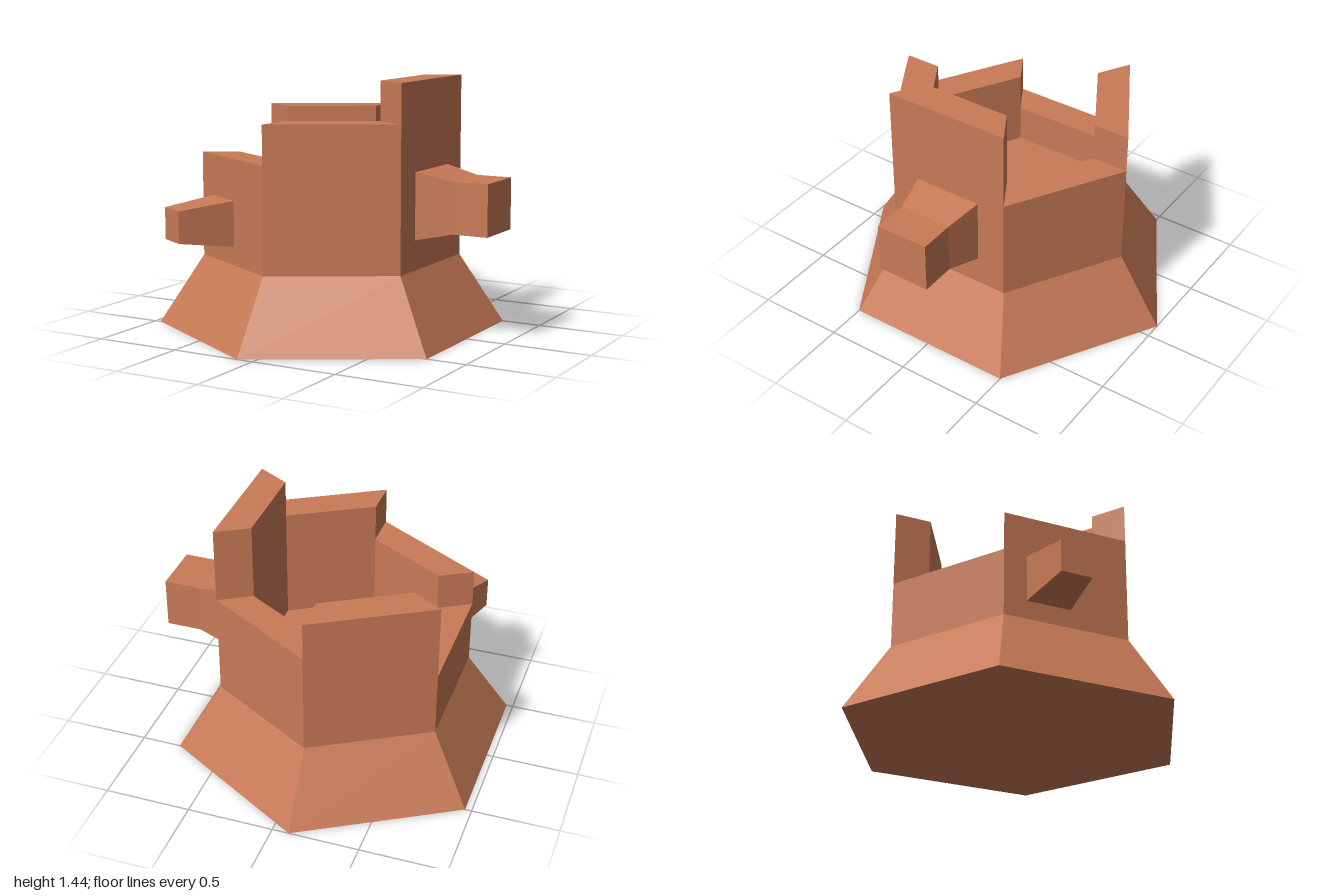
import * as THREE from 'three';

// Flat-faced geometry from quads, corners counter-clockwise seen from outside
function quadGeometry(quads) {
  const points = quads.flatMap(([a, b, c, d]) => [a, b, c, a, c, d]);
  const geometry = new THREE.BufferGeometry();
  geometry.setAttribute('position', new THREE.Float32BufferAttribute(points.flat(), 3));
  geometry.computeVertexNormals();
  return geometry;
}

// Corner k of a hexagon with its first corner towards +z
function corner(k, radius, y) {
  const a = (k * Math.PI) / 3;
  return [radius * Math.sin(a), y, radius * Math.cos(a)];
}

// Square stub growing along +z through rings of [z, half width, half height]
function stubGeometry(rings) {
  const loops = rings.map(([z, w, h]) => [[-w, -h, z], [w, -h, z], [w, h, z], [-w, h, z]]);
  const quads = [loops[loops.length - 1]];
  for (let r = 0; r < loops.length - 1; r++) {
    for (let i = 0; i < 4; i++) {
      const j = (i + 1) % 4;
      quads.push([loops[r][i], loops[r][j], loops[r + 1][j], loops[r + 1][i]]);
    }
  }
  return quadGeometry(quads);
}

export function createModel() {
  const bark = new THREE.MeshStandardMaterial({ color: 0xc87a56, flatShading: true });
  bark.name = 'bark';

  const group = new THREE.Group();
  group.name = 'treeStump';
  const add = (name, geometry) => {
    const mesh = new THREE.Mesh(geometry, bark);
    mesh.name = name;
    mesh.position.x = -0.096;
    group.add(mesh);
    return mesh;
  };

  const BASE = 1, OUTER = 0.74, INNER = 0.53;
  const FLARE_TOP = 0.4, FLOOR = 0.56;

  // Flared root and its underside
  add('rootFlare', new THREE.CylinderGeometry(OUTER, BASE, FLARE_TOP, 6, 1, true)).position.y = FLARE_TOP / 2;
  add('underside', new THREE.CircleGeometry(BASE, 6, Math.PI / 2).rotateX(Math.PI / 2));

  // Broken trunk: six wall sides of differing heights around a hollow
  const heights = [1.22, 1.44, 1.0, 1.22, 0.78, 1.0];
  const walls = [];
  heights.forEach((h, k) => {
    const out = (i, y) => corner(i, OUTER, y);
    const inn = (i, y) => corner(i, INNER, y);
    const before = heights[(k + 5) % 6];
    walls.push(
      [out(k, FLARE_TOP), out(k + 1, FLARE_TOP), out(k + 1, h), out(k, h)],
      [out(k, h), out(k + 1, h), inn(k + 1, h), inn(k, h)],
      [inn(k + 1, FLOOR), inn(k, FLOOR), inn(k, h), inn(k + 1, h)],
      // step between this side and the one before
      [inn(k, before), out(k, before), out(k, h), inn(k, h)],
    );
  });
  add('trunkWalls', quadGeometry(walls));
  add('hollowFloor', new THREE.CircleGeometry(INNER, 6, Math.PI / 2).rotateX(-Math.PI / 2)).position.y = FLOOR;

  // Cut branches
  const face = OUTER * Math.cos(Math.PI / 6);
  const large = add('largeBranch', stubGeometry([[face, 0.2, 0.188], [0.846, 0.155, 0.145], [1.051, 0.155, 0.145]]));
  large.position.y = 0.757;
  large.rotation.y = Math.PI / 2;

  const smallGeometry = stubGeometry([[face, 0.13, 0.13], [0.957, 0.09, 0.09]]).translate(-0.107, 0, 0);
  const small = add('smallBranch', smallGeometry);
  small.position.y = 0.635;
  small.rotation.y = -Math.PI / 6;

  return group;
}
